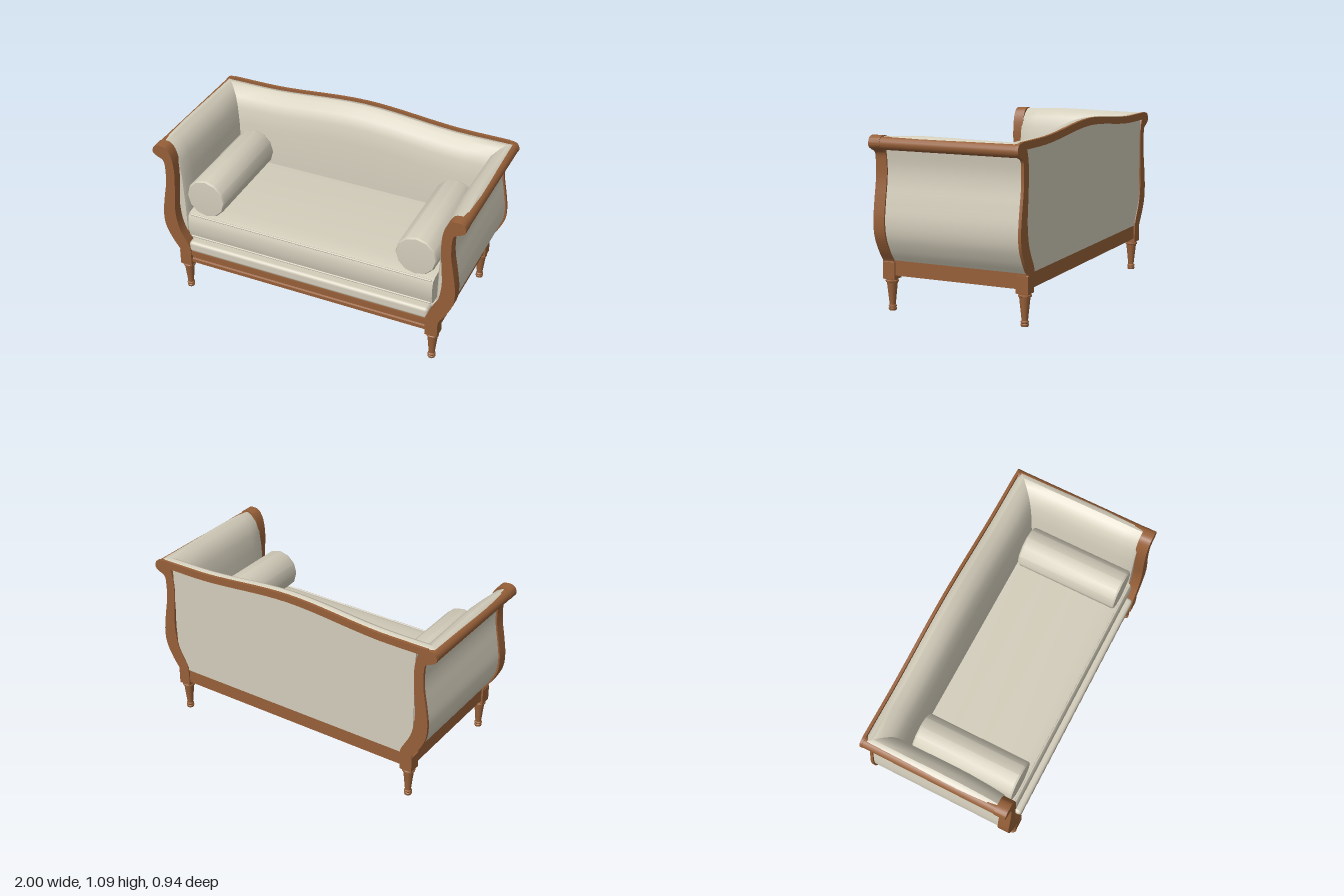
import * as THREE from 'three';
import { toCreasedNormals } from 'three/addons/utils/BufferGeometryUtils.js';
import { RoundedBoxGeometry } from 'three/addons/geometries/RoundedBoxGeometry.js';

const wood = new THREE.MeshStandardMaterial({ color: 0x965f38 });
const fabric = new THREE.MeshStandardMaterial({ color: 0xd2ccba, side: THREE.DoubleSide });
const V2 = (x, y) => new THREE.Vector2(x, y);

// Height of the back's serpentine crest
function crest(x) {
  const s = Math.max(0, 1 - Math.abs(x) / 0.7);
  return 1.043 + 0.047 * s * s * (3 - 2 * s);
}

// Extrude a shape from z0 to z1
function slab(shape, z0, z1, curveSegments = 4) {
  const g = new THREE.ExtrudeGeometry(shape, { depth: z1 - z0, bevelEnabled: false, curveSegments });
  return toCreasedNormals(g.translate(0, 0, z0), 0.6);
}

// Extrude a [z, y] profile across x, centred
function acrossX(profile, width) {
  const shape = new THREE.Shape(profile.map(([z, y]) => V2(-z, y)));
  return slab(shape, -width / 2, width / 2).rotateY(Math.PI / 2);
}

// Scrolled S-shaped post outline; s = side
function postShape(s) {
  const curve = [[0.866, 0.305], [0.91, 0.37], [0.952, 0.46], [0.96, 0.556], [0.945, 0.67], [0.926, 0.78],
    [0.922, 0.87], [0.93, 0.94], [0.968, 0.963], [0.995, 0.98], [1.0, 1.005], [0.985, 1.034], [0.95, 1.043],
    [0.905, 1.03], [0.873, 0.97], [0.861, 0.87], [0.868, 0.73], [0.877, 0.59], [0.856, 0.46], [0.80, 0.35], [0.788, 0.32]];
  const shape = new THREE.Shape();
  shape.moveTo(s * 0.788, 0.29);
  shape.lineTo(s * 0.866, 0.29);
  shape.splineThru(curve.map(([x, y]) => V2(s * x, y)));
  shape.closePath();
  return shape;
}

// Upholstered arm body outline: S-curve outside, plain inside
function armShape(s) {
  const shape = new THREE.Shape();
  shape.moveTo(s * 0.83, 0.3);
  shape.lineTo(s * 0.855, 0.305);
  shape.splineThru([[0.9, 0.37], [0.94, 0.46], [0.95, 0.556], [0.935, 0.67], [0.916, 0.78], [0.912, 0.87], [0.925, 0.97]]
    .map(([x, y]) => V2(s * x, y)));
  for (const [x, y] of [[0.93, 1.02], [0.885, 0.95], [0.865, 0.85], [0.845, 0.6], [0.84, 0.36]]) shape.lineTo(s * x, y);
  shape.closePath();
  return shape;
}

// One U-shaped pad lining left arm, back and right arm, mitred at the corners
function liningGeometry() {
  // [inset from outer edge, drop from top], then the last two rows at fixed heights
  const rows = [[0, -0.025], [0.02, -0.005], [0.045, 0], [0.08, -0.018], [0.12, -0.055], [0.145, -0.12],
    [0.162, -0.22], [0.175, null, 0.6], [0.18, null, 0.34]];
  const X = 0.985, Z = -0.455;
  const sections = [];
  const arm = [[0.405, 0.5, 1.035], [0.405, 0.84, 1.035], [0.385, 0.9, 1.039], [0.3, 0.95, 1.044],
    [0.15, 1, 1.05], [0, 1.01, 1.049], [-0.15, 1, 1.046]];
  const height = (r, top) => (r[1] === null ? r[2] : top + r[1]);
  const armSection = (s) => ([z, k, top]) => rows.map((r) => [s * (X - r[0] * k), height(r, top), z]);
  const corner = (s) => rows.map((r) => [s * (X - r[0]), height(r, 1.043), Z + r[0]]);
  sections.push(...arm.map(armSection(-1)), corner(-1));
  for (let i = -7; i <= 7; i++) {
    const x = i * 0.1;
    sections.push(rows.map((r) => [x, height(r, crest(x)), Z + r[0]]));
  }
  sections.push(corner(1), ...arm.map(armSection(1)).reverse());
  const n = rows.length, index = [];
  for (let i = 0; i < sections.length - 1; i++) {
    for (let j = 0; j < n - 1; j++) {
      const a = i * n + j, b = a + n;
      index.push(a, a + 1, b, b, a + 1, b + 1);
    }
  }
  const g = new THREE.BufferGeometry();
  g.setAttribute('position', new THREE.Float32BufferAttribute(sections.flat(2), 3));
  g.setIndex(index);
  return toCreasedNormals(g, 0.6);
}

// Shape below the crest line, from the crest down to a floor function
function crestShape(half, lift, floor) {
  const top = [], bottom = [];
  for (let i = -12; i <= 12; i++) {
    const x = (i / 12) * half;
    top.push(V2(x, crest(x) + lift));
    bottom.unshift(V2(x, floor(x)));
  }
  return new THREE.Shape([...top, ...bottom]);
}

export function createModel() {
  const sofa = new THREE.Group();
  sofa.name = 'sofa';
  const add = (name, geometry, material, x = 0, y = 0, z = 0) => {
    const mesh = new THREE.Mesh(geometry, material);
    mesh.name = name;
    mesh.position.set(x, y, z);
    sofa.add(mesh);
    return mesh;
  };

  // Turned legs with square blocks above
  const legProfile = [[0, 0], [0.021, 0], [0.024, 0.008], [0.024, 0.014], [0.02, 0.018], [0.024, 0.023], [0.023, 0.03],
    [0.018, 0.034], [0.032, 0.168], [0.039, 0.172], [0.039, 0.18], [0.034, 0.184], [0.036, 0.195], [0, 0.195]];
  const legGeometry = toCreasedNormals(new THREE.LatheGeometry(legProfile.map(([r, y]) => V2(r, y)), 14), 0.6);
  const blockGeometry = new THREE.BoxGeometry(0.078, 0.102, 0.078);
  for (const s of [-1, 1]) {
    for (const f of [-1, 1]) {
      add('leg', legGeometry, wood, s * 0.827, 0, f * 0.429);
      add('legBlock', blockGeometry, wood, s * 0.827, 0.242, f * 0.429);
    }
  }

  // Base rails and front moulding
  add('baseRails', new THREE.BoxGeometry(1.71, 0.093, 0.895), wood, 0, 0.2615, -0.0125);
  add('frontMoulding', acrossX([[0.4, 0.215], [0.455, 0.215], [0.455, 0.238], [0.445, 0.243], [0.445, 0.264],
    [0.46, 0.27], [0.46, 0.3], [0.4, 0.3]], 1.59), wood);

  // Arms: scrolled posts, upholstered bodies and top rolls
  const rollGeometry = new THREE.CylinderGeometry(0.038, 0.038, 0.92, 16).rotateX(Math.PI / 2);
  for (const s of [-1, 1]) {
    add('frontPost', slab(postShape(s), 0.395, 0.467), wood);
    add('backPost', slab(postShape(s), -0.47, -0.452), wood);
    add('armBody', slab(armShape(s), -0.455, 0.4), fabric);
    add('armRoll', rollGeometry, wood, s * 0.961, 1.0, 0);
  }

  // Back: crest rail and outside panel
  add('crestRail', slab(crestShape(0.94, 0.003, (x) => crest(x) - 0.042), -0.47, -0.452), wood);
  add('backPanel', slab(crestShape(0.865, -0.02, () => 0.305), -0.464, -0.448), fabric);
  add('innerLining', liningGeometry(), fabric);

  // Seat platform, front border and cushion
  add('seatPlatform', new THREE.BoxGeometry(1.68, 0.08, 0.84), fabric, 0, 0.335, -0.02);
  add('frontBorder', new RoundedBoxGeometry(1.6, 0.076, 0.16, 3, 0.022), fabric, 0, 0.337, 0.385);
  add('seatCushion', acrossX([[-0.28, 0.38], [0.405, 0.385], [0.422, 0.4], [0.432, 0.44], [0.434, 0.49], [0.43, 0.53],
    [0.42, 0.555], [0.39, 0.565], [0.3, 0.573], [0.1, 0.58], [-0.1, 0.582], [-0.28, 0.575]], 1.62), fabric);
  const weltGeometry = new THREE.CylinderGeometry(0.006, 0.006, 1.6, 8).rotateZ(Math.PI / 2);
  for (const y of [0.396, 0.558]) add('cushionWelt', weltGeometry, fabric, 0, y, 0.422);

  // Bolsters with gently domed pleated ends
  const bolsterProfile = [[0, -0.34], [0.122, -0.333], [0.129, -0.322], [0.129, 0.322], [0.122, 0.333], [0, 0.34]];
  const bolsterGeometry = toCreasedNormals(
    new THREE.LatheGeometry(bolsterProfile.map(([r, y]) => V2(r, y)), 12).rotateX(Math.PI / 2), 0.6);
  for (const s of [-1, 1]) add('bolster', bolsterGeometry, fabric, s * 0.69, 0.69, 0.075);

  return sofa;
}
